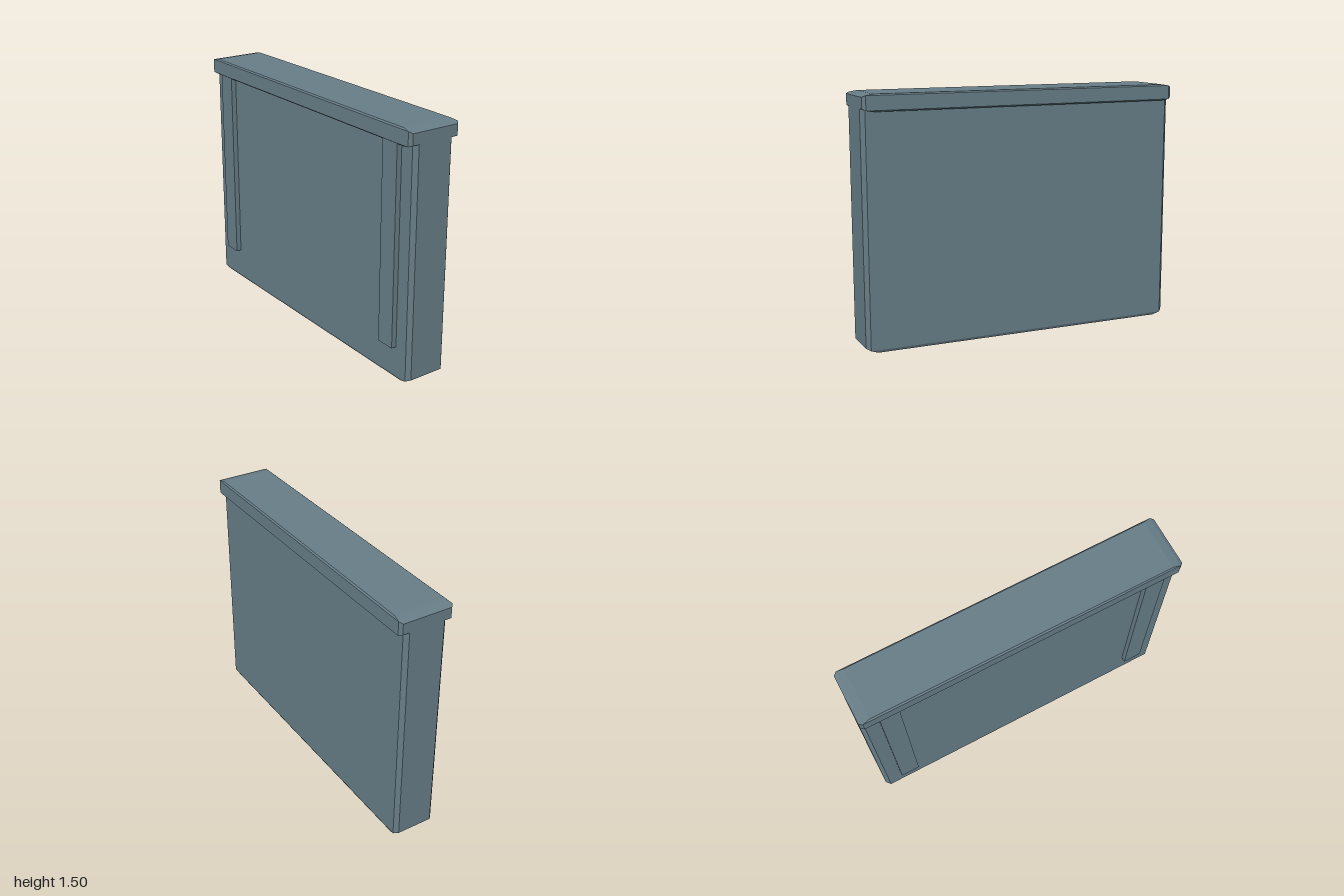
import * as THREE from 'three';
import { ConvexGeometry } from 'three/addons/geometries/ConvexGeometry.js';

// Box with bevelled edges: each corner becomes a small triangle.
// hx, hy, hz are half sizes; xFace, yFace, zFace are the half extents of the flat faces.
function bevelledBox(hx, hy, hz, xFace, yFace, zFace) {
  const points = [];
  for (const sx of [-1, 1]) for (const sy of [-1, 1]) for (const sz of [-1, 1]) {
    points.push(
      new THREE.Vector3(sx * hx, sy * xFace[0], sz * xFace[1]),
      new THREE.Vector3(sx * yFace[0], sy * hy, sz * yFace[1]),
      new THREE.Vector3(sx * zFace[0], sy * zFace[1], sz * hz)
    );
  }
  return new ConvexGeometry(points);
}

export function createModel() {
  const model = new THREE.Group();
  model.name = 'slabWithCap';

  const slate = new THREE.MeshStandardMaterial({ color: 0x667c86 });
  slate.name = 'slate';

  function add(name, geometry, x, y, z) {
    const mesh = new THREE.Mesh(geometry, slate);
    mesh.name = name;
    mesh.position.set(x, y, z);
    model.add(mesh);
  }

  // Main slab, its top tucked inside the cap
  add('body', bevelledBox(1, 0.725, 0.134,
    [0.697, 0.111], [0.93, 0.126], [0.976, 0.708]), 0, 0.725, 0);

  // Overhanging cap
  add('cap', bevelledBox(1, 0.05, 0.169,
    [0.033, 0.154], [0.935, 0.16], [0.98, 0.042]), 0, 1.45, 0);

  // Raised vertical strips on the front, running up under the cap
  for (const [side, name] of [[-1, 'rightStrip'], [1, 'leftStrip']]) {
    add(name, new THREE.BoxGeometry(0.12, 1.22, 0.066), side * 0.83, 0.81, 0.133);
  }

  return model;
}
